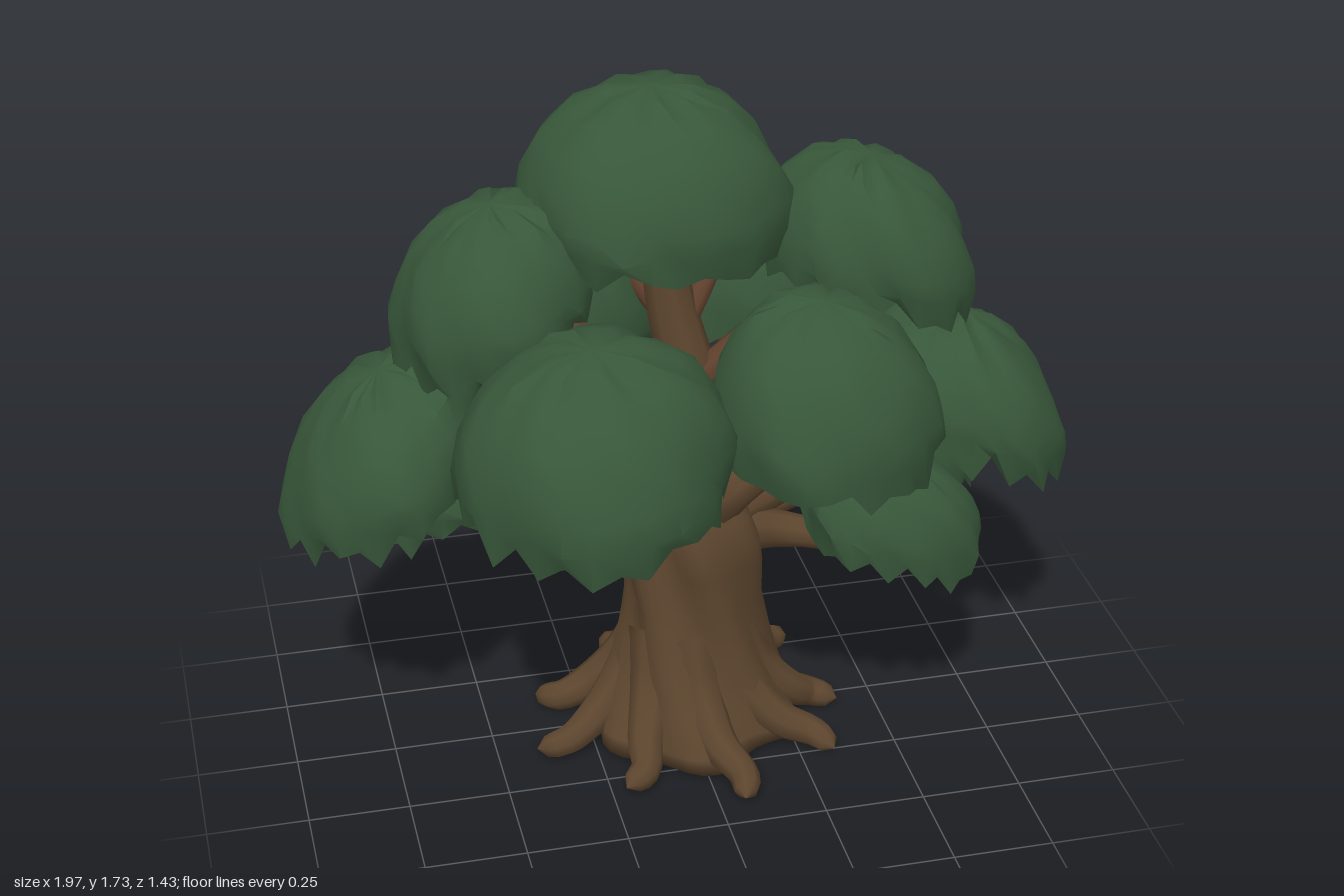
import * as THREE from 'three';
import { mergeVertices, toCreasedNormals } from 'three/addons/utils/BufferGeometryUtils.js';

const leaf = new THREE.MeshStandardMaterial({ color: 0x38573a });
leaf.name = 'leaf green';
const bark = new THREE.MeshStandardMaterial({ color: 0x5c452e });
bark.name = 'bark brown';
const redBark = new THREE.MeshStandardMaterial({ color: 0x5e3f2c });
redBark.name = 'reddish bark';

const hash = (a, b) => {
  const s = Math.sin(a * 127.1 + b * 311.7) * 43758.5453;
  return s - Math.floor(s);
};
const lerp = THREE.MathUtils.lerp;

// x, z, radius x, radius z, rim y, top y, outward droop
const CLUMPS = {
  crown: [-0.06, -0.07, 0.32, 0.32, 1.38, 1.73, 0],
  upperLeft: [0.46, 0.01, 0.25, 0.26, 1.25, 1.54, 0.25],
  upperRight: [-0.46, 0, 0.24, 0.26, 1.2, 1.5, 0.25],
  backLeft: [0.27, -0.41, 0.31, 0.29, 0.97, 1.35, 0.2],
  backRight: [-0.27, -0.27, 0.27, 0.26, 1.02, 1.4, 0.12],
  frontRight: [-0.3, 0.4, 0.32, 0.3, 0.95, 1.3, 0.12],
  frontLeft: [0.27, 0.3, 0.27, 0.27, 0.96, 1.31, 0.12],
  outerLeft: [0.72, 0, 0.25, 0.27, 0.8, 1.09, 0.38],
  outerRight: [-0.74, 0, 0.24, 0.27, 0.8, 1.1, 0.45],
  lowFrontLeft: [0.47, 0.22, 0.23, 0.17, 0.63, 0.85, 0.36],
  lowBackLeft: [0.61, -0.21, 0.21, 0.21, 0.6, 0.85, 0.27],
  lowBackRight: [-0.56, -0.2, 0.22, 0.22, 0.63, 0.86, 0.32],
  smallRight: [-0.37, -0.06, 0.12, 0.12, 0.78, 0.88, 0.2],
};

// hollow dome with a ragged rim: underside first, then over the rim to the top
const DOME = [[0, 0.5], [0.45, 0.42], [0.78, 0.2], [0.95, 0], [1.01, 0.1], [1, 0.26],
  [0.93, 0.48], [0.8, 0.68], [0.6, 0.85], [0.32, 0.96], [0, 1]];
const RIM = 3;

const TRUNK = [[0, 0.012], [0.27, 0.012], [0.26, 0.05], [0.225, 0.12], [0.2, 0.19], [0.18, 0.27],
  [0.162, 0.38], [0.168, 0.5], [0.17, 0.57], [0.155, 0.64], [0.12, 0.71], [0.08, 0.77], [0, 0.8]];

// revolve a profile, with a rule for each vertex, and weld the seam
function revolve(profile, n, rule) {
  const geo = new THREE.LatheGeometry(profile.map(p => new THREE.Vector2(...p)), n);
  const pos = geo.attributes.position;
  for (let i = 0; i < pos.count; i++) {
    const p = new THREE.Vector3().fromBufferAttribute(pos, i);
    rule(p, Math.floor(i / profile.length) % n, i % profile.length);
    pos.setXYZ(i, p.x, p.y, p.z);
  }
  return weld(geo);
}

function weld(geo) {
  geo.deleteAttribute('uv');
  geo.deleteAttribute('normal');
  const out = mergeVertices(geo, 1e-5);
  out.computeVertexNormals();
  return out;
}

// offset on a clump's tilted base plane
const droopAt = (x, z, droop, dx, dz) => droop * (dx * x + dz * z) / Math.hypot(x, z);

function clumpGeometry([x, z, rx, rz, y0, y1, droop], seed) {
  const n = 30;
  const geo = revolve(DOME, n, (p, seg, row) => {
    const a = seg / n * Math.PI * 2;
    let s = 1, drop = 0;
    if (row > 0 && row < DOME.length - 1) {
      // broad lumps and small facets
      s += 0.035 * Math.sin(3 * a + seed * 2 + row * 0.5) + 0.025 * Math.sin(7 * a + seed + row)
        + (hash(seg + seed * 40, row) - 0.5) * 0.05;
      drop = (hash(seg + seed * 13, row + 50) - 0.5) * 0.02;
    }
    // uneven leaf tips
    if (row === RIM) {
      drop = 0.01 - 0.065 * hash(seg, seed) - (seg % 2) * 0.025;
      s += (seg % 2) * 0.03;
    }
    const dx = p.x * rx * s, dz = p.z * rz * s;
    p.set(x + dx, y0 + p.y * (y1 - y0) + drop - droopAt(x, z, droop, dx, dz), z + dz);
  });
  return toCreasedNormals(geo, 0.75);
}

// twisted, ribbed trunk
function trunkGeometry() {
  return revolve(TRUNK, 48, p => {
    const a = Math.atan2(p.x, p.z) + 2.2 * p.y;
    const s = 1 + 0.08 * Math.cos(6 * a) + 0.04 * Math.cos(3 * a + 1);
    p.set(p.x * s + 0.025, p.y, p.z * s * 1.04);
  });
}

// tube along points whose radius runs from r0 to r1, floored at minY
function limb(points, r0, r1, sides = 8, minY = 0) {
  const curve = new THREE.CatmullRomCurve3(points.map(p => new THREE.Vector3(...p)));
  const steps = points.length * 4;
  const geo = new THREE.TubeGeometry(curve, steps, 1, sides);
  const pos = geo.attributes.position;
  const v = new THREE.Vector3();
  for (let i = 0; i < pos.count; i++) {
    const k = Math.floor(i / (sides + 1));
    const c = curve.getPointAt(k / steps);
    const tip = k === steps ? 0.02 : k === steps - 1 ? 0.85 : 1;
    const r = lerp(r0, r1, Math.pow(k / steps, 0.75)) * tip;
    v.fromBufferAttribute(pos, i).sub(c).multiplyScalar(r).add(c);
    pos.setXYZ(i, v.x, Math.max(v.y, minY), v.z);
  }
  return weld(geo);
}

// gnarled branch from the trunk or leader to the hollow of a clump
function branchGeometry([x, z, , , y0, y1], seed) {
  const upper = y0 > 1.1, low = y0 < 0.7;
  const from = upper ? 0.96 : low ? 0.53 : 0.6;
  const to = lerp(y0, y1, 0.45);
  const reach = Math.hypot(x, z);
  const climb = low ? [0, 0.15, 0.35, 0.3, 1] : [0, 0.22, 0.4, 0.62, 1];
  const points = climb.map((g, k) => {
    const t = lerp(upper ? 0 : 0.12, 1, k / 4);
    const bend = k % 4 ? 0.03 * Math.sin(k * 2.2 + seed) : 0;
    return [0.02 * (1 - t) + x * t - bend * z / reach, lerp(from, to, g), z * t + bend * x / reach];
  });
  return limb(points, upper ? 0.045 : 0.07, low ? 0.018 : 0.026);
}

export function createModel() {
  const tree = new THREE.Group();
  tree.name = 'tree';
  const add = (name, geo, mat, parent = tree) => {
    const m = new THREE.Mesh(geo, mat);
    m.name = name;
    parent.add(m);
  };
  const group = name => {
    const g = new THREE.Group();
    g.name = name;
    tree.add(g);
    return g;
  };

  add('trunk', trunkGeometry(), bark);

  // roots curl around the trunk and out along the ground
  const roots = group('roots');
  for (let i = 0; i < 9; i++) {
    const a = 0.1 + i * Math.PI * 2 / 9 + 0.08 * Math.sin(i * 2.3);
    const reach = 0.41 + 0.025 * Math.sin(i * 1.9 + 1);
    const at = (r, y, turn) => [Math.sin(a + turn) * r + 0.02, y, Math.cos(a + turn) * r];
    add('root', limb([at(0.1, 0.3, -0.4), at(0.16, 0.17, -0.2), at(0.26, 0.07, -0.04),
      at(reach - 0.07, 0.035, 0.06), at(reach, 0.02, 0)], 0.085, 0.032, 8, 0.003), bark, roots);
  }

  // central leader, forking inside the crown
  const branches = group('branches');
  add('leader', limb([[0.02, 0.6, 0], [0.03, 0.8, 0.01], [0.02, 0.98, -0.02], [-0.02, 1.18, -0.05],
    [-0.05, 1.5, -0.07]], 0.1, 0.045), bark, branches);
  for (const side of [1, -1]) {
    add('crownFork', limb([[0, 1.1, -0.03], [0.09 * side, 1.22, -0.1], [0.14 * side, 1.31, -0.16],
      [0.12 * side, 1.47, -0.17]], 0.035, 0.02), redBark, branches);
  }

  // foliage clumps, each with its branch and twigs spreading under the dome
  const foliage = group('foliage');
  const twigs = group('twigs');
  Object.entries(CLUMPS).forEach(([name, clump], i) => {
    add(name + 'Clump', clumpGeometry(clump, i + 1), leaf, foliage);
    const [x, z, rx, rz, y0, y1, droop] = clump;
    if (name === 'smallRight') return;
    const wood = y0 > 1.1 ? redBark : bark;
    if (name !== 'crown') add(name + 'Branch', branchGeometry(clump, i), wood, branches);
    for (let k = 0; k < 3; k++) {
      const a = i * 1.3 + k * 2.1;
      const p = (f, y) => {
        const dx = Math.sin(a) * rx * f, dz = Math.cos(a) * rz * f;
        return [x + dx, lerp(y0, y1, y) - droopAt(x, z, droop, dx, dz), z + dz];
      };
      add('twig', limb([p(0, 0.3), p(0.25, 0.05), p(0.45, 0.12), p(0.58, 0.42)], 0.022, 0.012, 6), wood, twigs);
    }
  });
  return tree;
}
